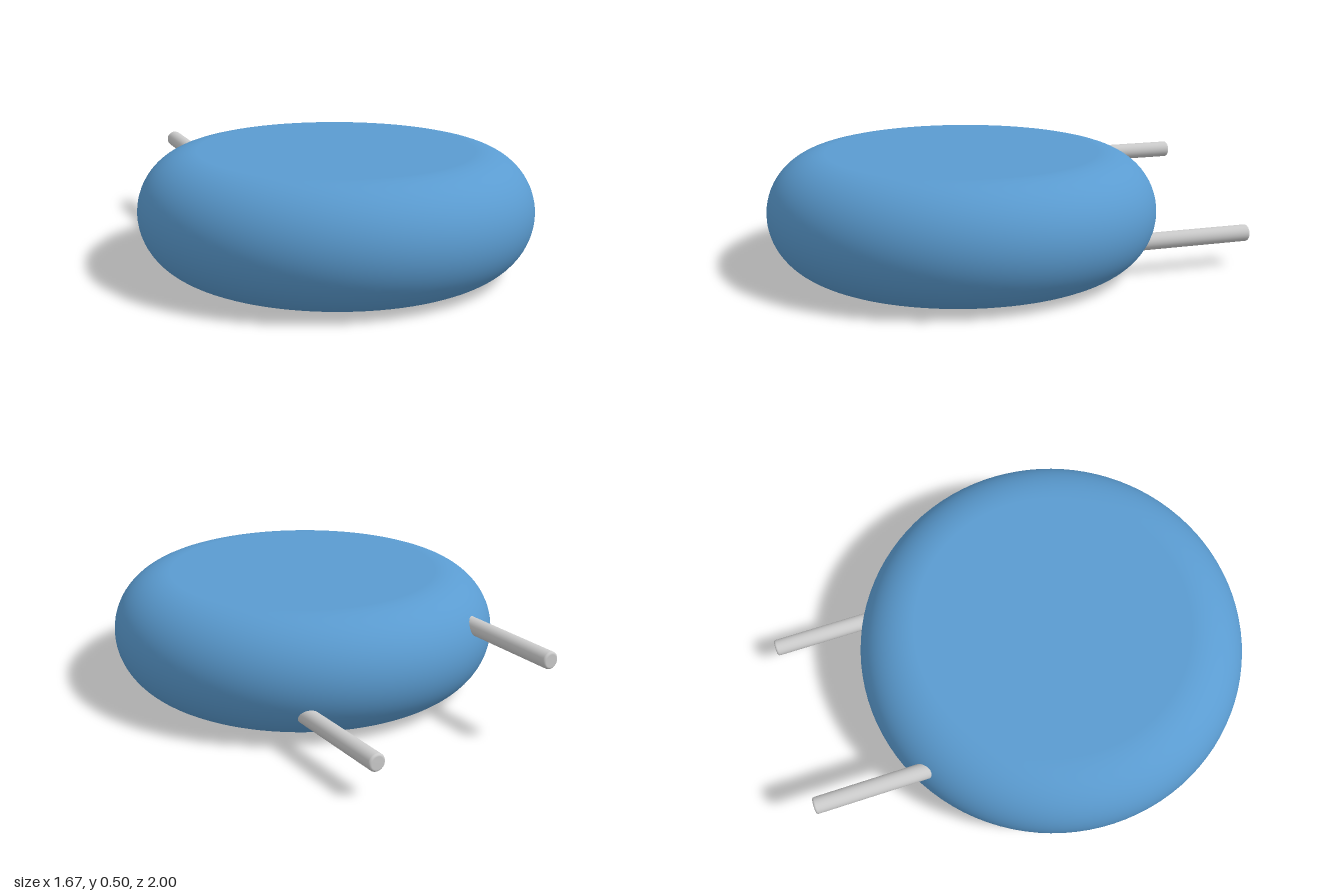
import * as THREE from 'three';

const HEIGHT = 0.505, RADIUS = 0.835, CENTER_Z = 0.165;

// Disc with flat faces and a fully rounded rim
function createBody(material) {
  const r = HEIGHT / 2;
  const profile = [new THREE.Vector2(0, 0)];
  const steps = 32;
  for (let i = 0; i <= steps; i++) {
    const a = -Math.PI / 2 + (Math.PI * i) / steps;
    profile.push(new THREE.Vector2(RADIUS - r + r * Math.cos(a), r + r * Math.sin(a)));
  }
  profile.push(new THREE.Vector2(0, HEIGHT));
  const body = new THREE.Mesh(new THREE.LatheGeometry(profile, 96), material);
  body.name = 'discBody';
  body.position.z = CENTER_Z;
  return body;
}

// Straight wire running backwards, with a slightly rounded tip
function createLead(name, x, y, material) {
  const r = 0.036, bevel = 0.01, startZ = -0.42, length = 1 + startZ;
  const profile = [new THREE.Vector2(0, 0), new THREE.Vector2(r, 0)];
  for (let i = 0; i <= 5; i++) {
    const a = (Math.PI / 2) * (i / 5);
    profile.push(new THREE.Vector2(r - bevel + bevel * Math.cos(a), length - bevel + bevel * Math.sin(a)));
  }
  profile.push(new THREE.Vector2(0, length));
  const lead = new THREE.Mesh(new THREE.LatheGeometry(profile, 32), material);
  lead.name = name;
  lead.rotation.x = -Math.PI / 2;
  lead.position.set(x, y, startZ);
  return lead;
}

export function createModel() {
  const group = new THREE.Group();
  group.name = 'discCapacitor';
  const blue = new THREE.MeshStandardMaterial({ color: 0x5a9bd0 });
  const grey = new THREE.MeshStandardMaterial({ color: 0xcccccc });

  group.add(createBody(blue));

  // Leads leave from opposite sides of the disc's mid-plane
  const offset = 0.109;
  group.add(createLead('leftLead', 0.405, HEIGHT / 2 - offset, grey));
  group.add(createLead('rightLead', -0.405, HEIGHT / 2 + offset, grey));
  return group;
}
